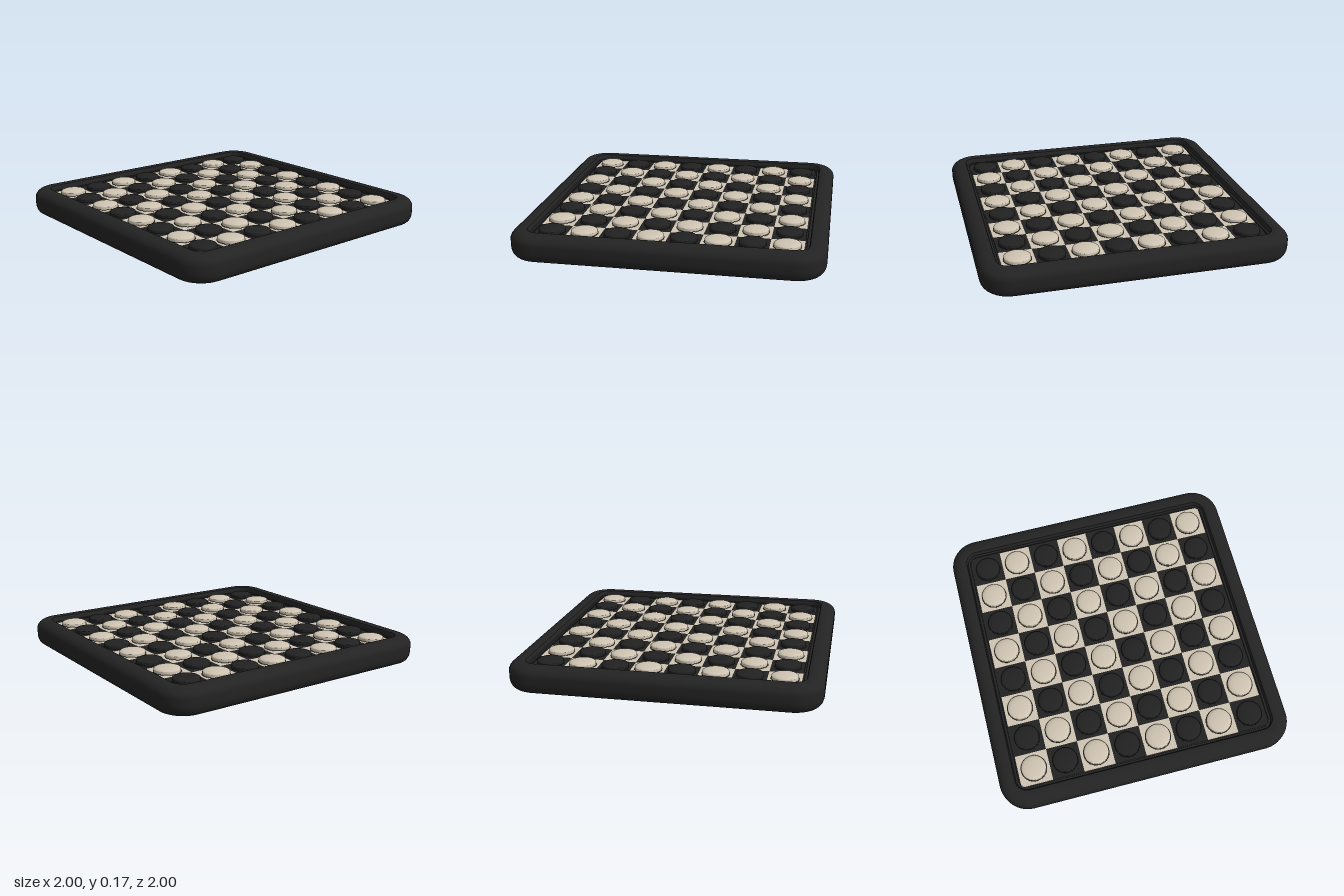
import * as THREE from 'three';
import { toCreasedNormals } from 'three/addons/utils/BufferGeometryUtils.js';

const FLOOR = 0.132;
const CELL = 0.215;

// Rounded-square loop, inset from the outer edge, at height y
function loop(inset, y, steps = 10) {
  const half = 1 - inset;
  const r = Math.max(0.19 - inset, 0.05);
  const pts = [];
  for (let q = 0; q < 4; q++) {
    const sx = q === 0 || q === 3 ? 1 : -1;
    const sz = q < 2 ? 1 : -1;
    for (let i = 0; i <= steps; i++) {
      const a = (q + i / steps) * Math.PI / 2;
      pts.push([sx * (half - r) + r * Math.cos(a), y, sz * (half - r) + r * Math.sin(a)]);
    }
  }
  return pts;
}

// Skin a list of [inset, y] sections, closed at both ends
function loft(profile) {
  const loops = profile.map(([inset, y]) => loop(inset, y));
  const n = loops[0].length;
  const pos = loops.flat(2);
  const index = [];
  for (let k = 0; k < loops.length - 1; k++) {
    for (let i = 0; i < n; i++) {
      const a = k * n + i, b = k * n + (i + 1) % n;
      index.push(a, a + n, b, b, a + n, b + n);
    }
  }
  const first = loops.length * n, last = first + 1, top = (loops.length - 1) * n;
  pos.push(0, profile[0][1], 0, 0, profile[profile.length - 1][1], 0);
  for (let i = 0; i < n; i++) {
    const j = (i + 1) % n;
    index.push(first, i, j, last, top + j, top + i);
  }
  const g = new THREE.BufferGeometry();
  g.setAttribute('position', new THREE.Float32BufferAttribute(pos, 3));
  g.setIndex(index);
  return toCreasedNormals(g, 0.6);
}

// Quarter-ellipse of section points
function arc(cx, cy, rx, ry, from, to, steps = 7) {
  return Array.from({ length: steps + 1 }, (_, i) => {
    const a = from + (to - from) * i / steps;
    return [cx - rx * Math.cos(a), cy + ry * Math.sin(a)];
  });
}

export function createModel() {
  const frameMat = new THREE.MeshStandardMaterial({ color: 0x232323 });
  frameMat.name = 'black frame';
  const darkMat = new THREE.MeshStandardMaterial({ color: 0x212121 });
  darkMat.name = 'dark squares';
  const lightMat = new THREE.MeshStandardMaterial({ color: 0xcfc4b2 });
  lightMat.name = 'cream';

  const model = new THREE.Group();
  model.name = 'checkerboard';
  const add = (parent, name, geometry, material, x = 0, y = 0, z = 0) => {
    const m = new THREE.Mesh(geometry, material);
    m.name = name;
    m.position.set(x, y, z);
    parent.add(m);
  };

  // Tray: rounded outside, soft rim, sunken floor with a small step
  const profile = [
    ...arc(0.05, 0.07, 0.05, 0.07, -Math.PI / 2, 0),
    ...arc(0.075, 0.115, 0.075, 0.06, 0, Math.PI / 2),
    [0.098, 0.175], [0.107, 0.172], [0.112, 0.165],
    [0.114, 0.138], [0.13, 0.138], [0.132, FLOOR],
  ];
  add(model, 'tray', loft(profile), frameMat);

  // Shared geometry for squares and domed pieces
  const square = new THREE.BoxGeometry(CELL, 0.004, CELL);
  const seat = new THREE.CylinderGeometry(0.089, 0.089, 0.004, 40);
  const domePoints = [new THREE.Vector2(0.085, 0), new THREE.Vector2(0.085, 0.016)];
  for (let i = 0; i <= 8; i++) {
    const a = i / 8 * Math.PI / 2;
    domePoints.push(new THREE.Vector2(0.085 * Math.cos(a), 0.018 + 0.017 * Math.sin(a)));
  }
  const dome = toCreasedNormals(new THREE.LatheGeometry(domePoints, 40), 0.7);

  const squares = new THREE.Group();
  squares.name = 'squares';
  const pieces = new THREE.Group();
  pieces.name = 'pieces';
  model.add(squares, pieces);

  for (let row = 0; row < 8; row++) {
    for (let col = 0; col < 8; col++) {
      const mat = (row + col) % 2 ? darkMat : lightMat;
      const x = (col - 3.5) * CELL, z = (row - 3.5) * CELL;
      add(squares, 'square', square, mat, x, FLOOR + 0.002, z);
      add(pieces, 'pieceSeat', seat, frameMat, x, FLOOR + 0.004, z);
      add(pieces, 'piece', dome, mat, x, FLOOR + 0.004, z);
    }
  }
  return model;
}
